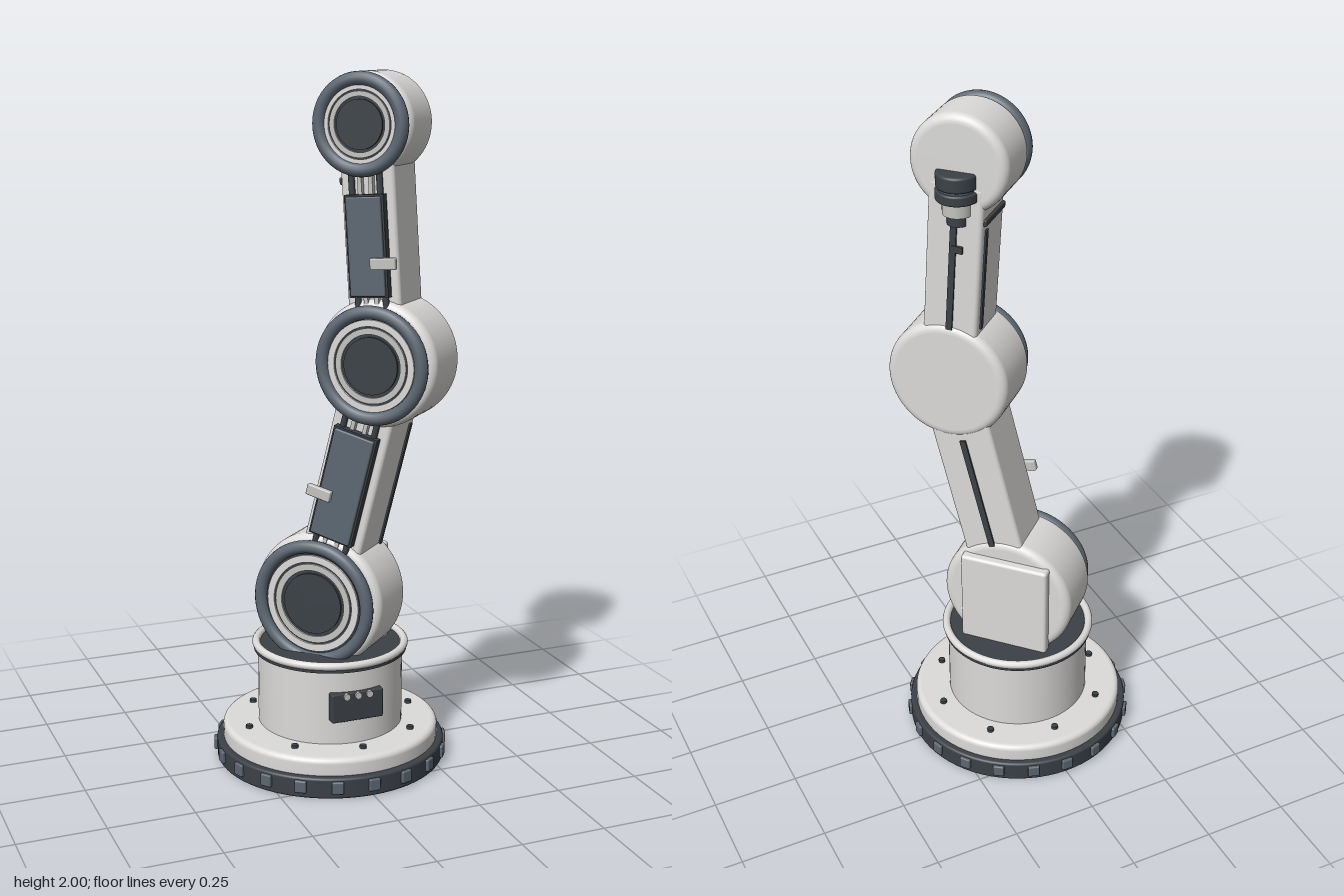
import * as THREE from 'three';
import { RoundedBoxGeometry } from 'three/addons/geometries/RoundedBoxGeometry.js';

const mat = (name, color) => Object.assign(new THREE.MeshStandardMaterial({ color }), { name });

export function createModel() {
  const shell = mat('light shell', 0xdcdbd9);
  const dark = mat('charcoal', 0x3b4147);
  const slate = mat('slate', 0x5c6772);
  const trim = mat('pale trim', 0xc3c3c0);

  const model = new THREE.Group();
  model.name = 'robotArm';

  const add = (parent, name, geo, material, x = 0, y = 0, z = 0) => {
    const m = new THREE.Mesh(geo, material);
    m.name = name;
    m.position.set(x, y, z);
    parent.add(m);
    return m;
  };
  const box = (w, h, d, r = 0) =>
    r ? new RoundedBoxGeometry(w, h, d, 3, r) : new THREE.BoxGeometry(w, h, d);
  const cyl = (r, h, n = 64) => new THREE.CylinderGeometry(r, r, h, n);

  // Drum from y0 to y1 with rounded rims
  const drum = (r, y0, y1, f) => {
    const pts = [[0, y0], [r - f - 0.002, y0]];
    for (let i = 0; i <= 6; i++) {
      const t = (i / 6) * Math.PI / 2;
      pts.push([r - f + f * Math.sin(t), y0 + f - f * Math.cos(t)]);
    }
    for (let i = 0; i <= 6; i++) {
      const t = (i / 6) * Math.PI / 2;
      pts.push([r - f + f * Math.cos(t), y1 - f + f * Math.sin(t)]);
    }
    pts.push([r - f - 0.002, y1], [0, y1]);
    return new THREE.LatheGeometry(pts.map(p => new THREE.Vector2(...p)), 72);
  };

  // Base
  const base = new THREE.Group();
  base.name = 'base';
  model.add(base);
  add(base, 'baseFoot', drum(0.337, 0, 0.062, 0.008), dark);
  add(base, 'basePlate', drum(0.318, 0.05, 0.112, 0.016), shell);
  for (let i = 0; i < 20; i++) {
    const a = (i / 20) * Math.PI * 2;
    const lug = add(base, 'gripLug', box(0.034, 0.036, 0.018, 0.004), slate,
      Math.sin(a) * 0.337, 0.036, Math.cos(a) * 0.337);
    lug.rotation.y = a;
  }
  for (let i = 0; i < 8; i++) {
    const a = (i / 8) * Math.PI * 2;
    add(base, 'baseBolt', cyl(0.01, 0.012, 16), dark, Math.sin(a) * 0.255, 0.115, Math.cos(a) * 0.255);
  }

  // Turret
  add(base, 'turret', cyl(0.213, 0.24), shell, 0, 0.225, 0);
  add(base, 'turretFloor', cyl(0.21, 0.008), dark, 0, 0.345, 0);
  add(base, 'turretGasket', cyl(0.225, 0.012), dark, 0, 0.338, 0);
  add(base, 'turretRim', new THREE.TorusGeometry(0.218, 0.012, 12, 72).rotateX(Math.PI / 2), shell, 0, 0.35, 0);
  add(base, 'controlPanel', box(0.157, 0.086, 0.04, 0.004), dark, 0, 0.227, 0.203).position.x = -0.003;
  for (const x of [-0.038, -0.003, 0.032])
    add(base, 'panelButton', cyl(0.01, 0.012, 16).rotateX(Math.PI / 2), trim, x, 0.26, 0.223);

  // Arm: local x is the reach direction, local z points to the hub covers
  const arm = new THREE.Group();
  arm.name = 'arm';
  arm.rotation.y = -THREE.MathUtils.degToRad(47);
  model.add(arm);

  const joint = (name, x, y, r, ringR, b0, b1) => {
    const g = new THREE.Group();
    g.name = name;
    g.position.set(x, y, 0);
    arm.add(g);
    const annulus = (ro, ri) => {
      const s = new THREE.Shape().absarc(0, 0, ro, 0, Math.PI * 2);
      s.holes.push(new THREE.Path().absarc(0, 0, ri, 0, Math.PI * 2, true));
      return new THREE.ExtrudeGeometry(s, { depth: 0.012, bevelEnabled: false, curveSegments: 48 });
    };
    add(g, name + 'Housing', drum(r, b0, b1, 0.024).rotateX(Math.PI / 2), shell);
    const z = b1 + 0.022;
    add(g, name + 'CoverBack', cyl(ringR - 0.012, 0.03).rotateX(Math.PI / 2), dark, 0, 0, z - 0.016);
    add(g, name + 'CoverRing', new THREE.TorusGeometry(ringR - 0.019, 0.019, 14, 72), slate, 0, 0, z - 0.002);
    add(g, name + 'OuterBand', annulus(ringR * 0.77, ringR * 0.66), shell, 0, 0, z - 0.007);
    add(g, name + 'InnerBand', annulus(ringR * 0.63, ringR * 0.53), trim, 0, 0, z - 0.007);
    add(g, name + 'HubCap', cyl(ringR * 0.48, 0.012).rotateX(Math.PI / 2), dark, 0, 0, z);
    return g;
  };

  const S = [0, 0.5], E = [0.178, 1.21], H = [0.135, 1.86];
  const shoulder = joint('shoulder', ...S, 0.2, 0.187, -0.097, 0.093);
  joint('elbow', ...E, 0.18, 0.167, -0.095, 0.093);
  joint('head', ...H, 0.14, 0.14, -0.085, 0.078);
  add(shoulder, 'shoulderBracket', box(0.27, 0.3, 0.04, 0.01), shell, 0, -0.01, -0.103);

  // Links between joints, with side panel, rails and bracket
  const link = (name, p, q, depth, width, panel, bracket) => {
    const g = new THREE.Group();
    g.name = name;
    const dx = q[0] - p[0], dy = q[1] - p[1], len = Math.hypot(dx, dy);
    g.position.set((p[0] + q[0]) / 2, (p[1] + q[1]) / 2, 0);
    g.rotation.z = -Math.atan2(dx, dy);
    arm.add(g);
    const half = width / 2;
    add(g, name + 'Body', box(depth, len - 0.1, width, 0.012), shell, 0, 0, -0.006);
    for (const s of [-1, 1]) {
      add(g, name + 'Cable', cyl(0.009, len - 0.2, 12), dark, s * panel.w * 0.36, 0, half + 0.004);
      add(g, name + 'Rail', box(0.012, len - 0.22, 0.02), trim, s * panel.w * 0.14, 0, half);
    }
    add(g, name + 'PanelFrame', box(panel.w, panel.h + 0.01, 0.024), dark, 0, panel.y, half + 0.012);
    add(g, name + 'Panel', box(panel.w - 0.012, panel.h, 0.018, 0.004), slate, 0, panel.y, half + 0.024);
    add(g, name + 'Clip', box(0.075, 0.032, 0.018, 0.004), trim, bracket[0], bracket[1], half + 0.04);
    return g;
  };

  const lower = link('lowerLink', S, E, 0.18, 0.168, { w: 0.135, h: 0.32, y: 0.0 }, [-0.058, -0.035]);
  add(lower, 'sideSlot', box(0.018, 0.37, 0.008), dark, 0, -0.01, -0.092);
  add(lower, 'frontSlot', box(0.008, 0.4, 0.016), dark, 0.091, -0.01, -0.062);

  const upper = link('upperLink', E, H, 0.158, 0.16, { w: 0.115, h: 0.27, y: 0.0 }, [0.055, -0.045]);
  add(upper, 'sideSlot', box(0.018, 0.36, 0.008), dark, 0, 0.01, -0.088);
  add(upper, 'slotCatch', box(0.03, 0.02, 0.012), dark, -0.014, 0.09, -0.088);
  add(upper, 'rearSlot', box(0.008, 0.3, 0.014), dark, -0.08, 0.0, -0.055);
  add(upper, 'rearStrap', box(0.014, 0.02, 0.14, 0.004), dark, -0.08, 0.175, -0.005);

  // Tool connector beside the head
  const tool = new THREE.Group();
  tool.name = 'toolConnector';
  tool.position.set(0.139, 0, -0.075);
  arm.add(tool);
  add(tool, 'connectorCap', drum(0.058, 1.8, 1.845, 0.008), dark);
  add(tool, 'connectorBody', drum(0.06, 1.765, 1.795, 0.006), dark);
  add(tool, 'connectorCore', cyl(0.052, 0.06, 32), slate, 0, 1.795, 0);
  add(tool, 'connectorNeck', cyl(0.042, 0.05, 32), trim, 0, 1.75, 0);
  add(tool, 'connectorCollar', cyl(0.03, 0.04, 24), dark, 0, 1.715, 0);

  return model;
}
